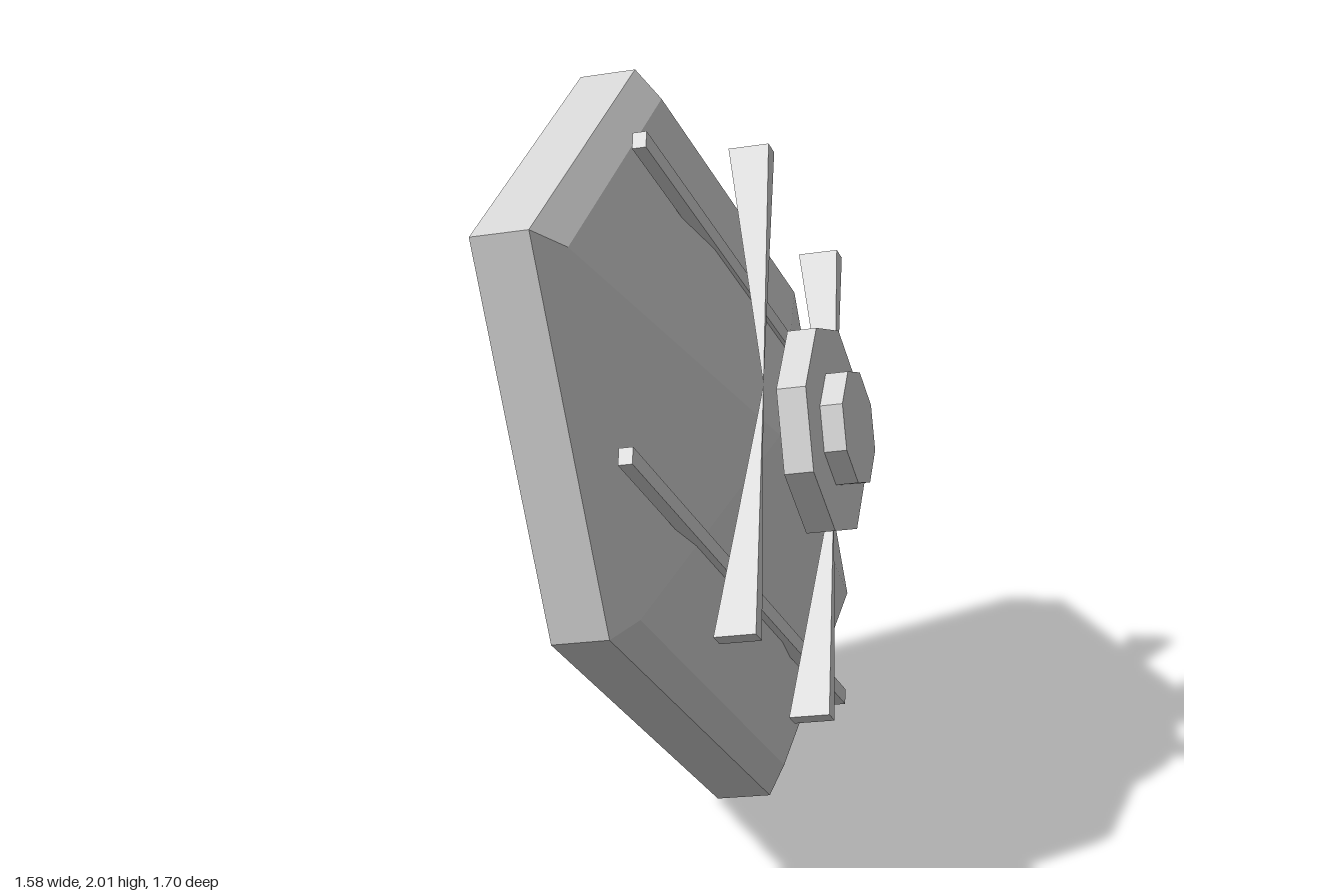
import * as THREE from 'three';

// Every part is faceted: split the vertices so each face keeps its own normal.
function faceted(geometry) {
  const flat = geometry.index ? geometry.toNonIndexed() : geometry;
  flat.computeVertexNormals();
  return flat;
}

export function createModel() {
  const grey = new THREE.MeshStandardMaterial({ color: 0xd8d8d8 });
  grey.name = 'light grey';

  const model = new THREE.Group();
  model.name = 'tiltedHexPanel';

  // Local frame: x along the panel, y across it, z out of its domed face.
  const assembly = new THREE.Group();
  assembly.name = 'panelAssembly';
  model.add(assembly);

  function add(name, geometry, x = 0, y = 0, z = 0) {
    const mesh = new THREE.Mesh(faceted(geometry), grey);
    mesh.name = name;
    mesh.position.set(x, y, z);
    assembly.add(mesh);
  }

  // Stretched hexagonal panel: flat back, straight rim, bevel, pyramid dome.
  const profile = [
    [0, -0.149], [1.285, -0.149], [1.285, 0], [1.177, 0.056], [0, 0.21],
  ].map(([r, h]) => new THREE.Vector2(r, h));
  const panel = new THREE.LatheGeometry(profile, 6, Math.PI / 2);
  panel.rotateX(Math.PI / 2);
  panel.scale(1, 0.699, 1);
  add('hexPanel', panel);

  const bladeLength = 0.68;
  const bladeDrop = 0.05;
  for (const side of [-1, 1]) {
    // Long rails half sunk into the dome.
    add('rail', new THREE.BoxGeometry(1.8, 0.044, 0.036), 0, side * 0.42, 0.117);

    // Crossing blades: two tapered halves with a straight front edge, meeting in a point.
    for (const end of [0, 1]) {
      const half = new THREE.CylinderGeometry(Math.SQRT1_2, 0, bladeLength, 4, 1, false, Math.PI / 4);
      half.scale(0.05, 1, 0.11);
      half.translate(0, bladeLength / 2, 0);
      half.applyMatrix4(new THREE.Matrix4().makeShear(0, 0, 0, -bladeDrop / bladeLength, 0, 0));
      half.rotateZ(end * Math.PI);
      add('taperedBlade', half, side * 0.32, 0, 0.214 + bladeDrop);
    }
  }

  // Two-step octagonal hub.
  for (const [name, radius, depth, z] of [
    ['hubBase', 0.285, 0.078, 0.326],
    ['hubCap', 0.157, 0.06, 0.395],
  ]) {
    const disc = new THREE.CylinderGeometry(radius, radius, depth, 8);
    disc.rotateX(Math.PI / 2);
    add(name, disc, 0, 0, z);
  }

  // Tilt the whole assembly into place.
  const out = new THREE.Vector3(0.77, 0.198, 0.607).normalize();
  const across = out.clone().cross(new THREE.Vector3(0.563, -0.66, -0.499)).normalize();
  const along = across.clone().cross(out);
  assembly.quaternion.setFromRotationMatrix(new THREE.Matrix4().makeBasis(along, across, out));
  assembly.position.set(0.046, 1.017, 0.041);

  return model;
}
